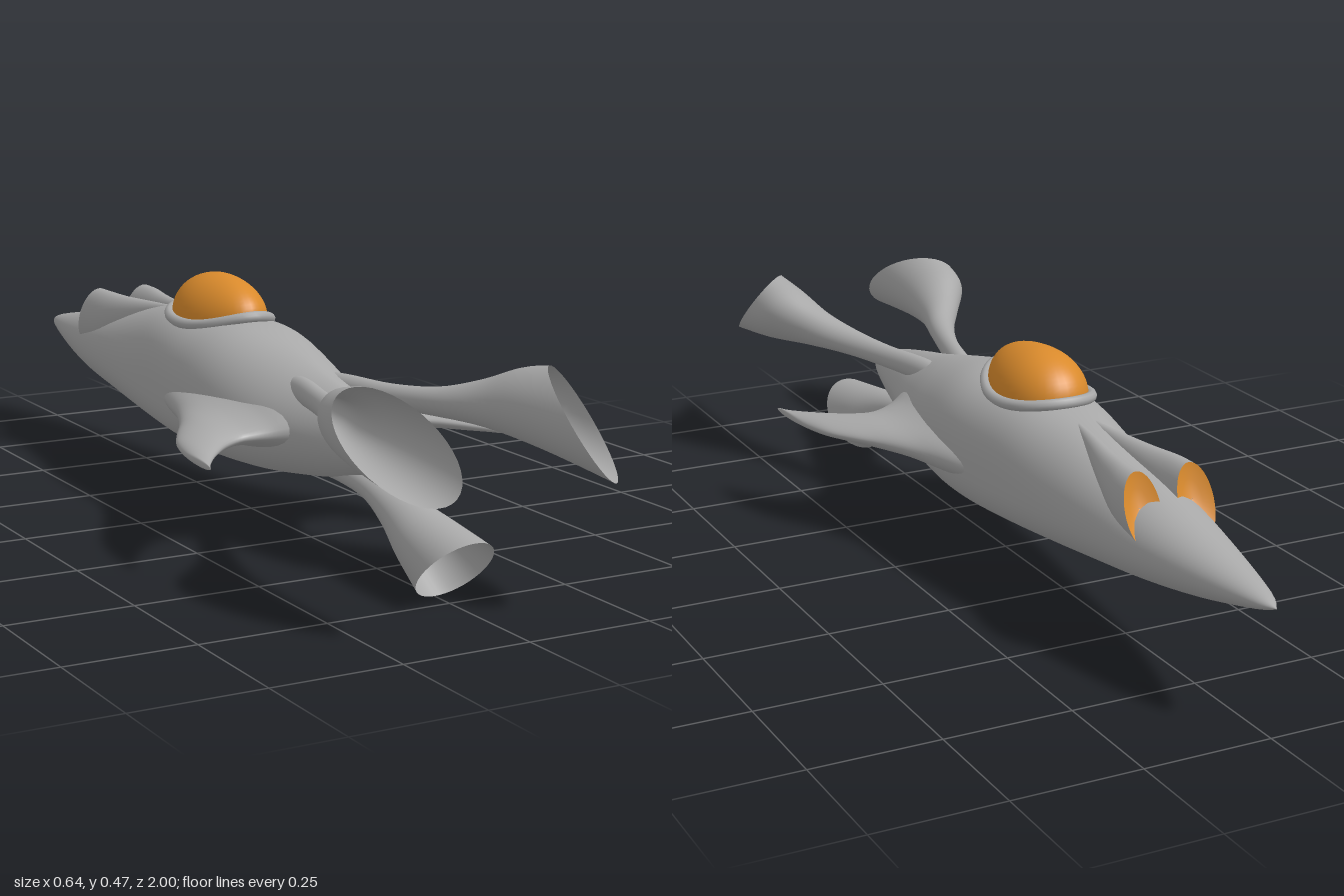
import * as THREE from 'three';

const hull = new THREE.MeshStandardMaterial({ name: 'hull grey', color: 0xa9a9a9, side: THREE.DoubleSide });
const amber = new THREE.MeshStandardMaterial({ name: 'amber glass', color: 0xd98a2c, side: THREE.DoubleSide });

// Smoothly resample a table of cross-section values, n steps per row
function smooth(rows, n) {
  const out = [];
  const at = i => rows[Math.max(0, Math.min(rows.length - 1, i))];
  for (let i = 0; i < rows.length - 1; i++) {
    for (let k = 0; k < n; k++) {
      const t = k / n;
      out.push(rows[i].map((b, c) => {
        const a = at(i - 1)[c], d = at(i + 2)[c], e = at(i + 1)[c];
        return b + 0.5 * t * (e - a + t * (2 * a - 5 * b + 4 * e - d + t * (3 * (b - e) + d - a)));
      }));
    }
  }
  out.push(rows[rows.length - 1]);
  return out;
}

// Skin closed rings; section(row, angle) returns [x, y, z]
function loft(name, material, rows, section, side = 1, sides = 40) {
  const pos = [], index = [];
  rows.forEach((row, i) => {
    for (let j = 0; j < sides; j++) {
      const [x, y, z] = section(row, j / sides * Math.PI * 2);
      pos.push(x * side, y, z);
      if (i === rows.length - 1) continue;
      const k = (j + 1) % sides;
      const a = i * sides + j, b = i * sides + k, c = b + sides, d = a + sides;
      if (side > 0) index.push(a, b, c, a, c, d);
      else index.push(a, c, b, a, d, c);
    }
  });
  const geo = new THREE.BufferGeometry();
  geo.setAttribute('position', new THREE.Float32BufferAttribute(pos, 3));
  geo.setIndex(index);
  geo.computeVertexNormals();
  const mesh = new THREE.Mesh(geo, material);
  mesh.name = name;
  return mesh;
}

const power = (v, n) => Math.sign(v) * Math.pow(Math.abs(v), 2 / n);

// Fuselage section: z, half width, top, bottom, waist height, upper and lower fullness
const fuselageRows = [
  [-1, 0.001, 0.241, 0.239, 0.24, 2, 2],
  [-0.95, 0.025, 0.258, 0.222, 0.24, 2, 2],
  [-0.8, 0.062, 0.288, 0.187, 0.238, 2, 2],
  [-0.65, 0.09, 0.318, 0.164, 0.235, 2, 2.1],
  [-0.5, 0.105, 0.345, 0.147, 0.232, 2, 2.2],
  [-0.36, 0.119, 0.372, 0.135, 0.23, 2.1, 2.4],
  [-0.22, 0.134, 0.388, 0.126, 0.23, 2.5, 2.6],
  [-0.08, 0.147, 0.39, 0.12, 0.23, 2.5, 2.7],
  [0.04, 0.147, 0.389, 0.12, 0.23, 2.3, 2.7],
  [0.18, 0.13, 0.363, 0.124, 0.23, 1.9, 2.5],
  [0.3, 0.1, 0.335, 0.137, 0.23, 1.7, 2.2],
  [0.4, 0.073, 0.315, 0.155, 0.232, 1.7, 2],
  [0.5, 0.052, 0.292, 0.182, 0.235, 1.8, 2],
  [0.58, 0.031, 0.267, 0.209, 0.236, 2, 2],
  [0.61, 0.015, 0.251, 0.223, 0.236, 2, 2],
  [0.62, 0.001, 0.237, 0.235, 0.236, 2, 2],
];
function fuselageSection([z, w, top, bottom, waist, up, low], t) {
  const s = Math.sin(t), n = s >= 0 ? up : low;
  return [w * power(Math.cos(t), n), waist + (s >= 0 ? top - waist : waist - bottom) * power(s, n), z];
}

// Wing section: x, leading z, trailing z, height, half thickness
const wingRows = [
  [0.05, -0.3, 0.36, 0.238, 0.085],
  [0.09, -0.24, 0.33, 0.234, 0.067],
  [0.12, -0.18, 0.31, 0.229, 0.049],
  [0.15, -0.09, 0.298, 0.226, 0.036],
  [0.18, 0.02, 0.295, 0.224, 0.028],
  [0.22, 0.115, 0.315, 0.222, 0.023],
  [0.26, 0.185, 0.355, 0.22, 0.018],
  [0.29, 0.245, 0.393, 0.218, 0.014],
  [0.31, 0.32, 0.425, 0.217, 0.009],
  [0.318, 0.39, 0.442, 0.217, 0.006],
  [0.32, 0.44, 0.447, 0.217, 0.001],
];
const wingSection = ([x, lead, trail, y, h], t) =>
  [x, y + h * Math.cos(t), (lead + trail) / 2 + (trail - lead) / 2 * Math.sin(t)];

// Tube section: z, x, y, radius x, radius y, slant of the ring towards angle `lean`
const tubeSection = lean => ([z, x, y, rx, ry, slant], t) =>
  [x + rx * Math.cos(t), y + ry * Math.sin(t), z + slant * Math.cos(t - lean)];

const upperNozzleRows = [
  [0.2, 0.03, 0.3, 0.02, 0.025, 0],
  [0.3, 0.045, 0.306, 0.022, 0.026, 0],
  [0.42, 0.075, 0.308, 0.022, 0.024, 0],
  [0.53, 0.11, 0.315, 0.03, 0.028, 0],
  [0.63, 0.15, 0.326, 0.042, 0.042, 0.02],
  [0.74, 0.18, 0.335, 0.061, 0.065, 0.06],
  [0.87, 0.19, 0.333, 0.065, 0.082, 0.13],
];
const lowerNozzleRows = [
  [0.22, 0, 0.15, 0.015, 0.015, 0],
  [0.35, 0, 0.162, 0.022, 0.022, 0],
  [0.48, 0, 0.155, 0.03, 0.026, 0],
  [0.58, 0, 0.13, 0.042, 0.035, 0.02],
  [0.67, 0, 0.098, 0.06, 0.05, 0.04],
  [0.765, 0, 0.066, 0.07, 0.065, 0.065],
];
const lampRows = [
  [-0.65, 0.055, 0.306, 0.037, 0.066, 0.03],
  [-0.58, 0.053, 0.313, 0.034, 0.059, 0.01],
  [-0.5, 0.042, 0.332, 0.026, 0.038, 0],
  [-0.4, 0.025, 0.352, 0.015, 0.02, 0],
  [-0.32, 0.015, 0.366, 0.005, 0.008, 0],
];
const lensRows = [
  [-0.635, 0.055, 0.306, 0.001, 0.001, 0],
  [-0.638, 0.055, 0.306, 0.02, 0.035, 0.016],
  [-0.65, 0.055, 0.306, 0.037, 0.066, 0.03],
];

// Egg-shaped cockpit edge with a saddle-shaped height
function cockpitEdge(t, grow) {
  const c = Math.cos(t);
  return new THREE.Vector3(
    (0.086 + grow) * Math.sin(t) * (1 - 0.12 * c),
    0.374 + (c > 0 ? 0.028 : 0.018) * c * c,
    -0.13 + (0.137 + grow) * c);
}

export function createModel() {
  const model = new THREE.Group();
  model.name = 'spaceship';

  model.add(loft('fuselage', hull, smooth(fuselageRows, 4), fuselageSection, 1, 56));
  model.add(loft('lowerNozzle', hull, smooth(lowerNozzleRows, 5), tubeSection(Math.PI / 2)));

  // Paired parts
  for (const [side, label] of [[1, 'left'], [-1, 'right']]) {
    model.add(loft(label + 'Wing', hull, smooth(wingRows, 4), wingSection, side));
    model.add(loft(label + 'UpperNozzle', hull, smooth(upperNozzleRows, 5), tubeSection(235 * Math.PI / 180), side));
    model.add(loft(label + 'LampHousing', hull, smooth(lampRows, 4), tubeSection(Math.PI / 2), side));
    model.add(loft(label + 'LampLens', amber, lensRows, tubeSection(Math.PI / 2), side));
  }

  // Canopy dome
  const levels = Array.from({ length: 15 }, (_, i) => [i / 14 * Math.PI / 2]);
  model.add(loft('canopy', amber, levels, ([phi], t) => {
    const e = cockpitEdge(t, 0), r = Math.max(Math.cos(phi), 0.002);
    return [e.x * r, e.y + (0.47 - e.y) * Math.sin(phi), -0.145 + (e.z + 0.145) * r];
  }));

  // Lip around the canopy
  const lip = Array.from({ length: 32 }, (_, i) => cockpitEdge(i / 32 * Math.PI * 2, 0.005));
  const rim = new THREE.Mesh(
    new THREE.TubeGeometry(new THREE.CatmullRomCurve3(lip, true), 64, 0.011, 10, true), hull);
  rim.name = 'canopyRim';
  model.add(rim);

  return model;
}
